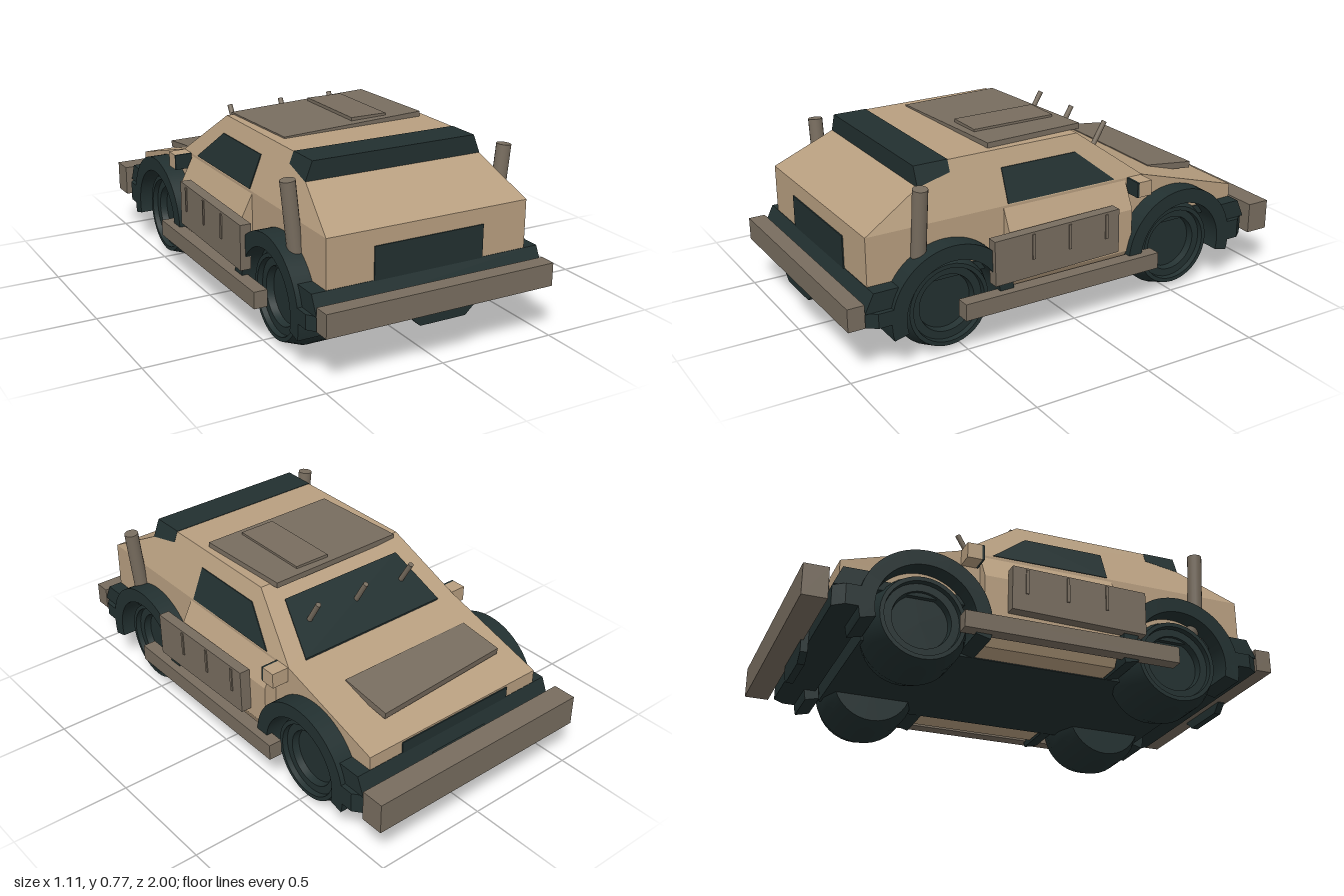
import * as THREE from 'three';
import { toCreasedNormals } from 'three/addons/utils/BufferGeometryUtils.js';

const mat = (name, color) => Object.assign(new THREE.MeshStandardMaterial({ color }), { name });

export function createModel() {
  const tan = mat('sand paint', 0xb89f80);
  const grey = mat('armour grey', 0x786d5f);
  const dark = mat('dark trim', 0x223030);
  const root = new THREE.Group();
  root.name = 'armouredCar';

  const add = (parent, name, geometry, material) => {
    const mesh = new THREE.Mesh(geometry, material);
    mesh.name = name;
    parent.add(mesh);
    return mesh;
  };
  // Box given by its extents on each axis
  const box = (x0, x1, y0, y1, z0, z1) =>
    new THREE.BoxGeometry(x1 - x0, y1 - y0, z1 - z0)
      .translate((x0 + x1) / 2, (y0 + y1) / 2, (z0 + z1) / 2);
  // Move every vertex by a rule
  const warp = (geometry, rule) => {
    const p = geometry.attributes.position;
    const v = new THREE.Vector3();
    for (let i = 0; i < p.count; i++) {
      rule(v.fromBufferAttribute(p, i));
      p.setXYZ(i, v.x, v.y, v.z);
    }
    geometry.computeVertexNormals();
    return geometry;
  };
  // Block with different rectangles [halfWidth, zMin, zMax] at bottom and top
  const frustum = (yb, bottom, yt, top) => warp(new THREE.BoxGeometry(2, 1, 1), (v) => {
    const [w, z0, z1] = v.y > 0 ? top : bottom;
    v.set(v.x * w, v.y > 0 ? yt : yb, v.z > 0 ? z1 : z0);
  });
  // Side outline of (z, y) points extruded across x
  const extrudeSide = (shape, x0, x1) =>
    new THREE.ExtrudeGeometry(shape, { depth: x1 - x0, bevelEnabled: false, curveSegments: 20 })
      .rotateY(-Math.PI / 2).translate(x1, 0, 0);
  const outline = (pts) => new THREE.Shape(pts.map(([z, y]) => new THREE.Vector2(z, y)));
  const side = (pts, x0, x1) => extrudeSide(outline(pts), x0, x1);
  // Round bar between two points
  const rod = (a, b, r) => {
    const from = new THREE.Vector3(...a), to = new THREE.Vector3(...b);
    const dir = to.clone().sub(from);
    const q = new THREE.Quaternion().setFromUnitVectors(new THREE.Vector3(0, 1, 0), dir.clone().normalize());
    return new THREE.CylinderGeometry(r, r, dir.length(), 16)
      .applyQuaternion(q).translate(...from.add(to).multiplyScalar(0.5).toArray());
  };
  const cabinHalfWidth = (y) => 0.44 - 0.39 * (y - 0.54);

  // Body shell and cabin
  add(root, 'lowerBody', side([[0.89, 0.34], [0.89, 0.54], [-0.365, 0.54], [-0.845, 0.4], [-0.845, 0.34]], -0.44, 0.44), tan);
  add(root, 'cabin', frustum(0.54, [0.44, -0.365, 0.89], 0.745, [0.36, -0.09, 0.505]), tan);
  add(root, 'rearRoofVisor', warp(side([[0.645, 0.747], [0.5, 0.747], [0.5, 0.7], [0.645, 0.67]], -1, 1),
    (v) => { v.x *= cabinHalfWidth(v.y) + 0.001; }), dark);
  add(root, 'windshield', warp(new THREE.BoxGeometry(2, 0.008, 1), (v) => {
    const t = v.z + 0.5;
    v.z = -0.365 + 0.205 * t;
    v.x *= 0.355 - 0.06 * t;
    v.y += 0.543 + (v.z + 0.365) * 0.745;
  }), dark);
  add(root, 'tailgatePanel', box(-0.24, 0.24, 0.34, 0.475, 0.888, 0.895), dark);
  add(root, 'grille', box(-0.28, 0.28, 0.342, 0.392, -0.85, -0.843), dark);

  // Chassis and lower bumper fairings
  add(root, 'chassis', box(-0.33, 0.33, 0.136, 0.335, -0.72, 0.76), dark);
  add(root, 'wheelWellPlate', box(-0.445, 0.445, 0.3, 0.339, -0.84, 0.885), dark);
  const fairing = (name, zIn, zOut, zTop, y0) => {
    const c = zOut - Math.sign(zOut) * 0.045;
    const shape = outline([[-0.52, zIn], [0.52, zIn], [0.52, c], [0.485, zOut], [-0.485, zOut], [-0.52, c]]);
    const geometry = new THREE.ExtrudeGeometry(shape, { depth: 0.265 - y0, bevelEnabled: false });
    add(root, name, geometry.rotateX(Math.PI / 2).translate(0, 0.265, 0), dark);
    const span = (a, b) => [Math.min(a, b), Math.max(a, b)];
    add(root, name + 'Slope', frustum(0.265, [0.5, ...span(zIn, zOut)], 0.342, [0.5, ...span(zIn, zTop)]), dark);
  };
  fairing('rearFairing', 0.775, 0.93, 0.892, 0.205);
  fairing('frontFairing', -0.735, -0.88, -0.846, 0.18);

  // Ram beams and skid plates
  add(root, 'rearBeam', box(-0.5, 0.5, 0.21, 0.305, 0.93, 1), grey);
  add(root, 'frontBeam', box(-0.52, 0.52, 0.187, 0.317, -1, -0.9), grey);
  add(root, 'frontBeamMount', box(-0.14, 0.14, 0.2, 0.29, -0.905, -0.87), dark);
  const skid = (name, y0, y1, z0, z1) => {
    const shape = outline([[-0.1, y0], [0.1, y0], [0.14, y0 + 0.037], [0.14, y1], [-0.14, y1], [-0.14, y0 + 0.037]]);
    add(root, name, new THREE.ExtrudeGeometry(shape, { depth: z1 - z0, bevelEnabled: false }).translate(0, 0, z0), dark);
  };
  skid('rearSkidPlate', 0.17, 0.215, 0.96, 0.99);
  skid('frontSkidPlate', 0.1, 0.215, -0.91, -0.88);

  // Bolted plates on roof and hood
  const roofPlate = new THREE.Group();
  roofPlate.name = 'roofPlate';
  roofPlate.position.set(0, 0.747, 0.1);
  roofPlate.rotation.set(0, 0.042, 0.024);
  add(roofPlate, 'roofArmour', box(-0.322, 0.322, -0.012, 0.012, -0.22, 0.22), grey);
  root.add(roofPlate);
  add(root, 'roofHatch', box(0.02, 0.18, 0.75, 0.773, -0.09, 0.28), grey);
  const hoodPlate = add(root, 'hoodPlate', new THREE.BoxGeometry(0.64, 0.028, 0.2), grey);
  hoodPlate.geometry = warp(hoodPlate.geometry, (v) => {
    if (v.z < 0) v.z -= 0.035 * (v.x + 0.32) / 0.64;
  });
  hoodPlate.position.set(-0.038, 0.474, -0.615);
  hoodPlate.rotation.x = -0.12;
  for (const x of [-0.245, 0, 0.245])
    add(root, 'windshieldRod', rod([x, 0.6, -0.235], [x, 0.725, -0.308], 0.011), grey);

  // Tyre and recessed hub in one turned profile
  const wheelGeometry = toCreasedNormals(new THREE.LatheGeometry(
    [[0, 0.2], [0.17, 0.2], [0.2, 0.28], [0.2, 0.4], [0.172, 0.477], [0.155, 0.477], [0.152, 0.455],
      [0.12, 0.455], [0.115, 0.425], [0, 0.425]].map(([r, x]) => new THREE.Vector2(r, x)), 36), 0.5)
    .rotateZ(-Math.PI / 2);

  // Parts repeated on both flanks
  for (const s of [1, -1]) {
    const flank = new THREE.Group();
    flank.name = s > 0 ? 'leftFlank' : 'rightFlank';
    flank.scale.x = s;
    root.add(flank);

    add(flank, 'sideWindow', warp(side([[0.28, 0.545], [0.28, 0.678], [-0.065, 0.678], [-0.225, 0.545]], -0.004, 0.004),
      (v) => { v.x += cabinHalfWidth(v.y); }), dark);

    // Bulged door and sill
    const door = new THREE.ExtrudeGeometry(
      outline([[0.32, 0.14], [0.44, 0.14], [0.495, 0.24], [0.495, 0.42], [0.44, 0.53], [0.32, 0.53]]),
      { depth: 0.58, bevelEnabled: false });
    add(flank, 'door', door.translate(0, 0, -0.28), tan);

    // Wheels under fender arches
    for (const z of [0.565, -0.52]) {
      add(flank, 'wheel', wheelGeometry, dark).position.set(0, 0.2, z);
      const a = 0.25;
      const arch = new THREE.Shape();
      arch.absarc(z, 0.2, 0.265, -a, Math.PI + a, false);
      arch.absarc(z, 0.2, 0.203, Math.PI + a, -a, true);
      add(flank, 'fenderArch', toCreasedNormals(extrudeSide(arch, 0.33, 0.52), 0.5), dark);
    }

    // Mirror
    add(flank, 'mirror', box(0.4, 0.515, 0.475, 0.54, -0.36, -0.298), tan);
    add(flank, 'mirrorGlass', box(0.43, 0.515, 0.475, 0.54, -0.298, -0.289), dark);

    // Hung armour panel with straps, and running board
    const panel = new THREE.Group();
    panel.name = 'sidePanel';
    panel.position.set(0.518, 0.36, 0.108);
    panel.rotation.x = 0.02;
    add(panel, 'panelPlate', new THREE.BoxGeometry(0.046, 0.188, 0.58), grey);
    for (const z of [0.117, -0.053, -0.228])
      add(panel, 'strap', box(0.02, 0.028, -0.02, 0.085, z - 0.006, z + 0.006), grey);
    flank.add(panel);
    add(flank, 'runningBoard', box(0.495, 0.553, 0.155, 0.225, -0.38, 0.535), grey);

    // Exhaust stack with its elbow
    add(flank, 'exhaustStack', rod([0.45, 0.4, 0.68], [0.482, 0.703, 0.68], 0.03), grey);
    add(flank, 'exhaustElbow', rod([0.451, 0.415, 0.68], [0.41, 0.3, 0.655], 0.028), grey);
  }
  return root;
}
